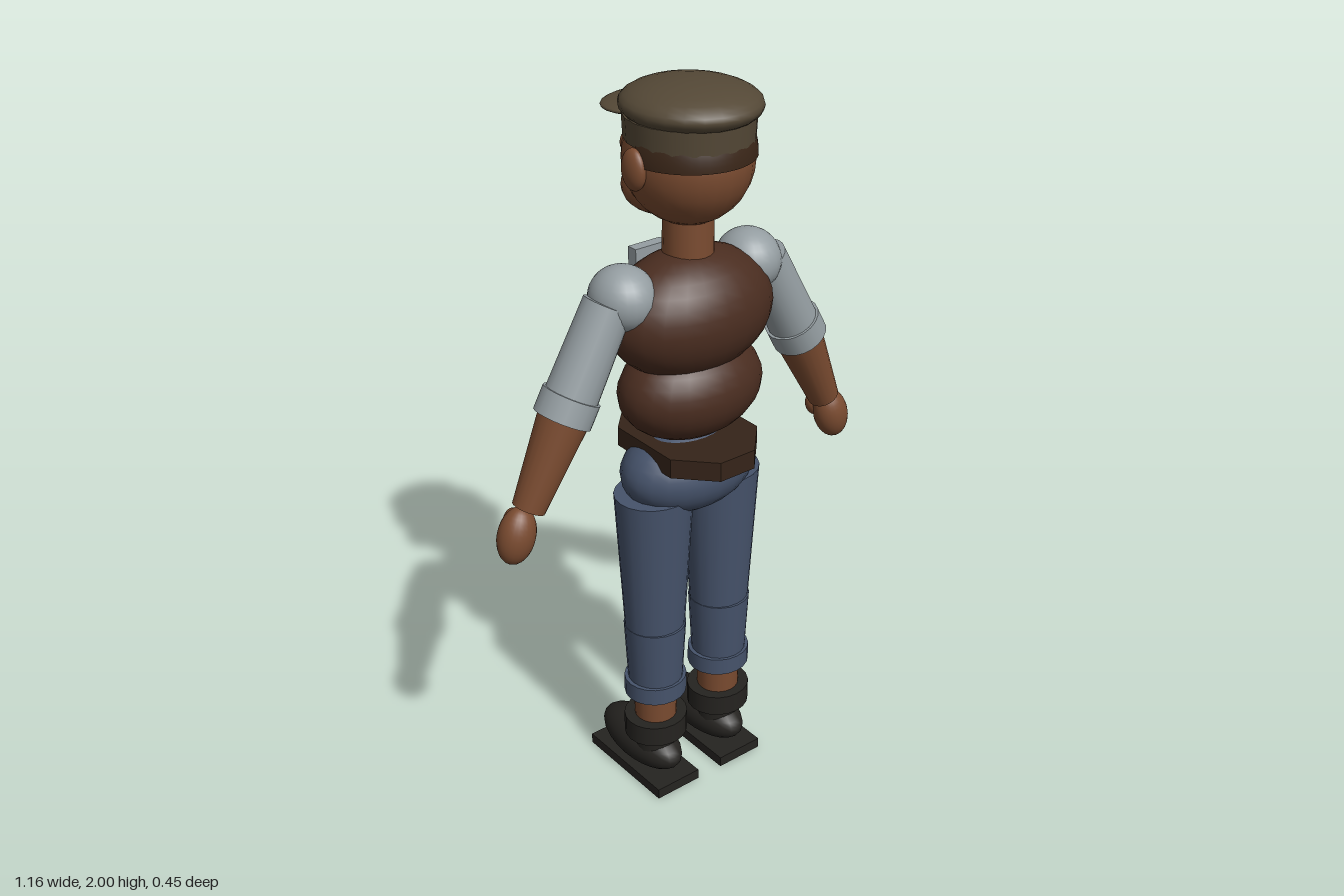
import * as THREE from 'three';

const COLORS = {
  skin: 0x7a4b30, vest: 0x4a2d20, denim: 0x46536b, cap: 0x544836, hair: 0x3a2618,
  shoe: 0x252320, cloth: 0x959ea2, belt: 0x352419, brass: 0xa9803a, eye: 0xeeeeee,
};
const materials = Object.fromEntries(Object.entries(COLORS).map(
  ([name, color]) => [name, new THREE.MeshStandardMaterial({ color })]));

function add(parent, name, geometry, color, x = 0, y = 0, z = 0) {
  const mesh = new THREE.Mesh(geometry, materials[color]);
  mesh.name = name;
  mesh.position.set(x, y, z);
  parent.add(mesh);
  return mesh;
}

// Ellipsoid from a centre and three radii
function ball(parent, name, color, [x, y, z], [rx, ry, rz]) {
  const geometry = new THREE.SphereGeometry(1, 24, 16).scale(rx, ry, rz);
  return add(parent, name, geometry, color, x, y, z);
}

// Tapered round limb running from a top point to a bottom point
function limb(parent, name, color, top, bottom, rTop, rBottom, depth = 1) {
  const a = new THREE.Vector3(...top), b = new THREE.Vector3(...bottom);
  const geometry = new THREE.CylinderGeometry(rTop, rBottom, a.distanceTo(b), 20).scale(1, 1, depth);
  const mesh = add(parent, name, geometry, color);
  mesh.position.copy(a).add(b).multiplyScalar(0.5);
  mesh.quaternion.setFromUnitVectors(new THREE.Vector3(0, 1, 0), a.sub(b).normalize());
  return mesh;
}

function box(parent, name, color, [x, y, z], [w, h, d]) {
  return add(parent, name, new THREE.BoxGeometry(w, h, d), color, x, y, z);
}

function buildHead() {
  const head = new THREE.Group();
  head.name = 'head';
  ball(head, 'skull', 'skin', [0, 1.81, 0.025], [0.16, 0.165, 0.165]);
  ball(head, 'jaw', 'skin', [0, 1.725, -0.06], [0.12, 0.08, 0.095]);
  ball(head, 'noseBridge', 'skin', [0, 1.81, -0.17], [0.032, 0.06, 0.035]);
  ball(head, 'noseTip', 'skin', [0, 1.79, -0.185], [0.04, 0.037, 0.035]);
  for (const s of [-1, 1]) {
    ball(head, 'ear', 'skin', [s * 0.162, 1.81, 0.025], [0.023, 0.052, 0.04]);
    ball(head, 'eye', 'eye', [s * 0.055, 1.85, -0.122], [0.016, 0.016, 0.014]);
  }
  // Hair wraps the back half of the skull
  const hair = new THREE.SphereGeometry(1, 24, 8, Math.PI, Math.PI, Math.PI * 0.28, Math.PI * 0.22)
    .rotateY(Math.PI).scale(0.164, 0.165, 0.17);
  add(head, 'hair', hair, 'hair', 0, 1.82, 0.026);
  limb(head, 'capBand', 'cap', [0, 1.92, 0.03], [0, 1.86, 0.03], 0.16, 0.157, 1.03);
  ball(head, 'capCrown', 'cap', [0, 1.943, 0.035], [0.17, 0.057, 0.18]);
  ball(head, 'capVisor', 'cap', [0, 1.91, -0.125], [0.13, 0.017, 0.1]);
  return head;
}

function buildTorso() {
  const torso = new THREE.Group();
  torso.name = 'torso';
  limb(torso, 'neck', 'skin', [0, 1.68, 0.025], [0, 1.53, 0.025], 0.063, 0.066);
  ball(torso, 'chest', 'vest', [0, 1.415, 0.032], [0.238, 0.165, 0.16]);
  ball(torso, 'belly', 'vest', [0, 1.21, 0.035], [0.207, 0.138, 0.147]);
  ball(torso, 'pelvis', 'denim', [0, 0.975, 0.025], [0.198, 0.122, 0.137]);

  // Eight-sided belt
  const outline = [[0.055, 0.203], [0.143, 0.11], [0.143, -0.11], [0.055, -0.203],
    [-0.055, -0.203], [-0.143, -0.11], [-0.143, 0.11], [-0.055, 0.203]];
  const shape = new THREE.Shape(outline.map(([x, y]) => new THREE.Vector2(x, y)));
  const belt = new THREE.ExtrudeGeometry(shape, { depth: 0.053, bevelEnabled: false }).rotateX(-Math.PI / 2);
  add(torso, 'belt', belt, 'belt', 0, 1.025, 0.024);
  box(torso, 'beltPlate', 'belt', [0, 1.05, -0.145], [0.1, 0.062, 0.068]);
  box(torso, 'buckle', 'brass', [0, 1.052, -0.178], [0.075, 0.014, 0.008]);

  // Necktie hanging clear of the chest
  box(torso, 'tieUpper', 'cloth', [0, 1.395, -0.138], [0.1, 0.28, 0.032]);
  box(torso, 'tieLower', 'cloth', [0, 1.18, -0.137], [0.095, 0.15, 0.025]);
  return torso;
}

function buildArm(s) {
  const arm = new THREE.Group();
  arm.name = s > 0 ? 'leftArm' : 'rightArm';
  ball(arm, 'shoulder', 'cloth', [s * 0.198, 1.493, 0.02], [0.084, 0.084, 0.09]);
  limb(arm, 'upperSleeve', 'cloth', [s * 0.243, 1.49, 0.022], [s * 0.375, 1.245, 0.02], 0.063, 0.069);
  limb(arm, 'sleeveCuff', 'cloth', [s * 0.355, 1.282, 0.02], [s * 0.386, 1.226, 0.02], 0.075, 0.075);
  limb(arm, 'forearm', 'skin', [s * 0.37, 1.25, 0.02], [s * 0.49, 1.01, 0.013], 0.068, 0.043);
  ball(arm, 'hand', 'skin', [s * 0.526, 0.943, 0.008], [0.05, 0.077, 0.046]).rotation.z = s * 0.28;
  ball(arm, 'thumb', 'skin', [s * 0.506, 0.955, -0.042], [0.022, 0.034, 0.024]).rotation.z = s * 0.28;
  return arm;
}

function buildLeg(s) {
  const leg = new THREE.Group();
  leg.name = s > 0 ? 'leftLeg' : 'rightLeg';
  const x = s * 0.112, z = 0.024;
  const tube = (name, color, top, bottom, rTop, rBottom, depth) =>
    limb(leg, name, color, [x, top, z], [x, bottom, z], rTop, rBottom, depth);
  tube('thigh', 'denim', 0.926, 0.48, 0.108, 0.082, 0.93);
  tube('lowerTrouser', 'denim', 0.52, 0.33, 0.085, 0.075);
  tube('trouserCuff', 'denim', 0.345, 0.295, 0.087, 0.087, 0.96);
  tube('ankle', 'skin', 0.31, 0.19, 0.06, 0.058);
  tube('bootCuff', 'shoe', 0.215, 0.155, 0.089, 0.089, 0.96);
  tube('bootShaft', 'shoe', 0.16, 0.1, 0.06, 0.06);
  ball(leg, 'shoe', 'shoe', [x, 0.087, -0.04], [0.073, 0.066, 0.158]);
  box(leg, 'sole', 'shoe', [x, 0.015, -0.032], [0.142, 0.03, 0.318]);
  return leg;
}

export function createModel() {
  const figure = new THREE.Group();
  figure.name = 'figure';
  figure.add(buildHead(), buildTorso());
  for (const s of [-1, 1]) figure.add(buildArm(s), buildLeg(s));
  return figure;
}
